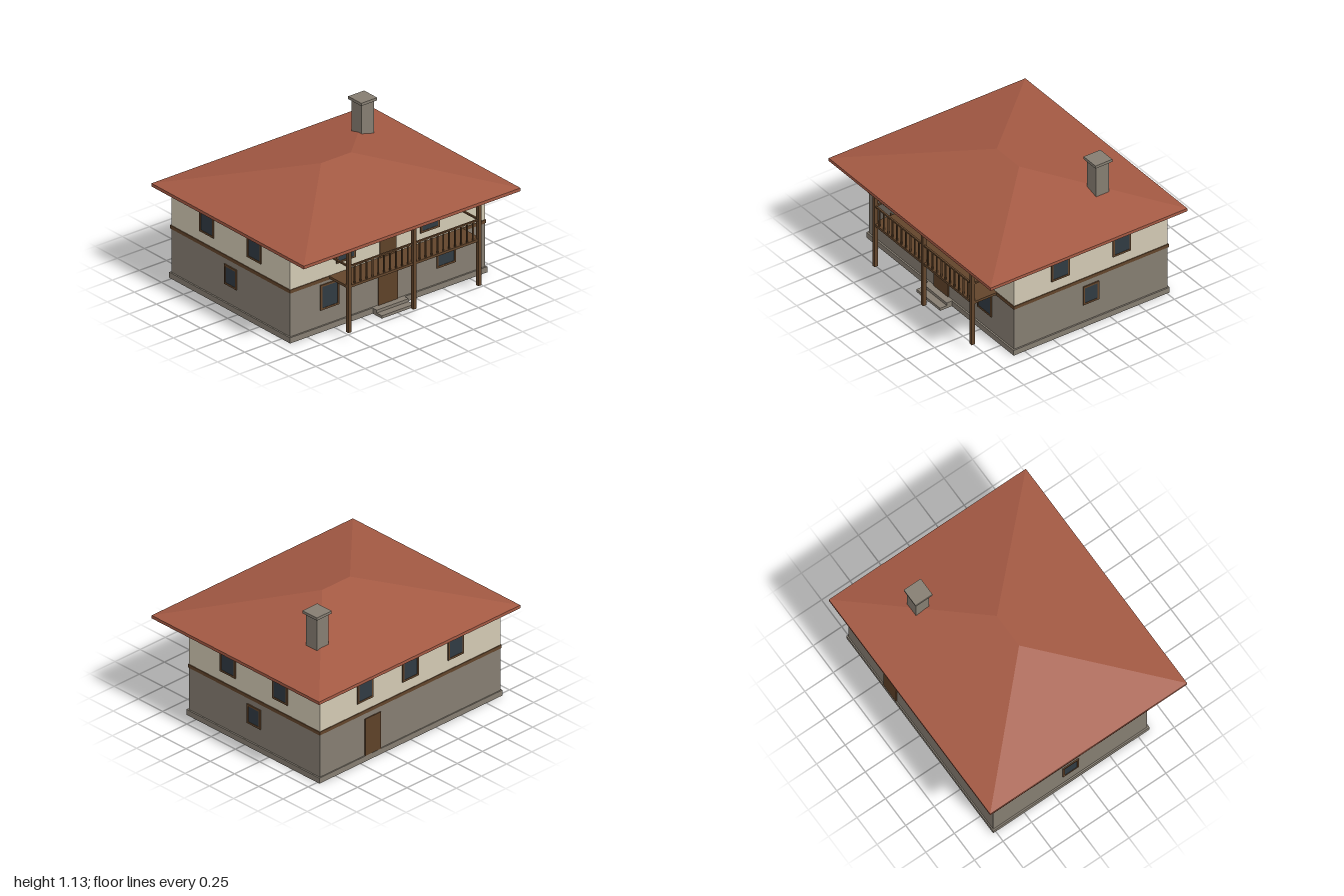
import * as THREE from 'three';

const mat = (name, color) => Object.assign(new THREE.MeshStandardMaterial({ color }), { name });

export function createModel() {
  const house = new THREE.Group();
  house.name = 'house';
  const stone = mat('stone', 0x857d71);
  const plaster = mat('plaster', 0xd2c9b3);
  const wood = mat('wood', 0x62452b);
  const doorWood = mat('door wood', 0x5e4128);
  const glass = mat('glass', 0x303a42);
  const roofTile = mat('roof tile', 0xa35943);

  // Box given by its limits on each axis
  function box(name, material, [x0, x1], [y0, y1], [z0, z1], parent = house) {
    const mesh = new THREE.Mesh(new THREE.BoxGeometry(x1 - x0, y1 - y0, z1 - z0), material);
    mesh.position.set((x0 + x1) / 2, (y0 + y1) / 2, (z0 + z1) / 2);
    mesh.name = name;
    parent.add(mesh);
    return mesh;
  }

  // Storeys
  const front = 0.584, back = -0.764, side = 0.898;
  box('foundation', stone, [-0.91, 0.91], [0, 0.045], [-0.773, 0.597]);
  box('lowerWalls', stone, [-side, side], [0.045, 0.395], [back, front]);
  box('floorBand', wood, [-0.904, 0.904], [0.393, 0.42], [back - 0.006, front + 0.006]);
  box('upperWalls', plaster, [-side, side], [0.42, 0.725], [back, front]);
  box('lowerStep', stone, [-0.147, 0.147], [0, 0.022], [0.59, 0.70]);
  box('upperStep', stone, [-0.147, 0.147], [0.022, 0.045], [0.59, 0.642]);

  // Hip roof: a box whose top is drawn in to a ridge, on an eave slab
  box('eaves', roofTile, [-1, 1], [0.722, 0.747], [-0.863, 0.863]);
  const hip = new THREE.BoxGeometry(2, 0.223, 1.726).toNonIndexed();
  const p = hip.attributes.position;
  for (let i = 0; i < p.count; i++) {
    if (p.getY(i) > 0) p.setXYZ(i, Math.sign(p.getX(i)) * 0.138, p.getY(i), 0);
  }
  hip.computeVertexNormals();
  const roof = new THREE.Mesh(hip, roofTile);
  roof.name = 'roof';
  roof.position.y = 0.747 + 0.1115;
  house.add(roof);

  // Chimney
  box('chimney', stone, [0.507, 0.62], [0.78, 1.11], [-0.447, -0.332]);
  box('chimneyCap', stone, [0.49, 0.637], [1.108, 1.13], [-0.463, -0.315]);

  // Thin openings on a wall, built facing +z and turned to the wall
  function place(group, x, y, z, turn) {
    group.position.set(x, y, z);
    group.rotation.y = turn;
    house.add(group);
  }
  function addWindow(x, y, z, turn, w, h) {
    const g = new THREE.Group();
    g.name = 'window';
    const t = 0.015, a = w / 2, b = h / 2, depth = [0, 0.009];
    for (const s of [-1, 1]) {
      const sx = s * (a - t / 2), sy = s * (b - t / 2);
      box('frameUpright', wood, [sx - t / 2, sx + t / 2], [-b, b], depth, g);
      box('frameRail', wood, [t - a, a - t], [sy - t / 2, sy + t / 2], depth, g);
    }
    box('pane', glass, [t - a, a - t], [t - b, b - t], [0, 0.006], g);
    place(g, x, y, z, turn);
  }
  function addDoor(name, x, y0, y1, z, turn, w) {
    const g = new THREE.Group();
    g.name = name;
    box('doorPanel', doorWood, [-w / 2, w / 2], [y0, y1], [0, 0.008], g);
    place(g, x, 0, z, turn);
  }

  for (const s of [-1, 1]) {
    addWindow(s * 0.388, 0.60, front, 0, 0.175, 0.205);
    addWindow(s * 0.537, 0.27, front, 0, 0.175, 0.20);
    for (const z of [0.18, -0.358]) addWindow(s * side, 0.595, z, s * Math.PI / 2, 0.158, 0.188);
    addWindow(s * side, 0.267, -0.088, s * Math.PI / 2, 0.14, 0.158);
  }
  for (const x of [-0.45, 0, 0.45]) addWindow(x, 0.595, back, Math.PI, 0.158, 0.188);
  addDoor('frontDoor', 0, 0.045, 0.362, front, 0, 0.18);
  addDoor('balconyDoor', 0, 0.42, 0.72, front, 0, 0.15);
  addDoor('backDoor', 0.375, 0.045, 0.348, back, Math.PI, 0.155);

  // Balcony: deck, posts, rails and balusters
  const left = -0.528, right = 0.672, pz = 0.792;
  box('balconyDeck', wood, [left - 0.014, right + 0.014], [0.4, 0.42], [front, 0.8]);
  for (const x of [left, (left + right) / 2, right]) {
    box('post', wood, [x - 0.014, x + 0.014], [0.048, 0.723], [pz - 0.014, pz + 0.014]);
  }
  box('frontRail', wood, [left, right], [0.564, 0.576], [pz - 0.007, pz + 0.007]);
  for (const x of [left, right]) {
    box('sideRail', wood, [x - 0.007, x + 0.007], [0.564, 0.576], [front, pz]);
  }
  const count = 22;
  for (let i = 1; i < count; i++) {
    const x = left + (right - left) * i / count;
    box('baluster', wood, [x - 0.005, x + 0.005], [0.418, 0.566], [pz - 0.005, pz + 0.005]);
  }
  return house;
}
